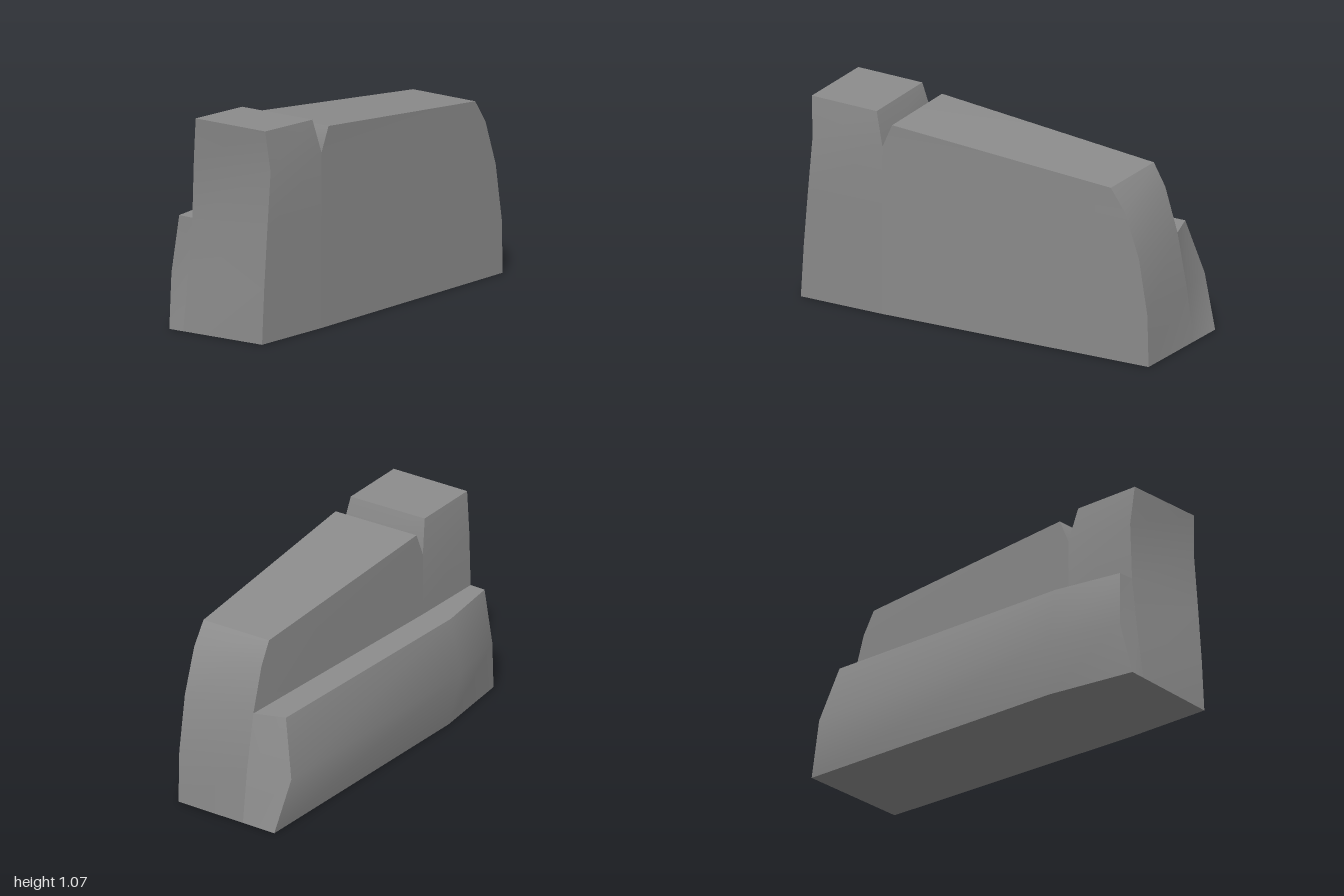
import * as THREE from 'three';
import { toCreasedNormals } from 'three/addons/utils/BufferGeometryUtils.js';

// Skin a stack of loops (bottom to top, each counterclockwise seen from above) and close both ends
function loft(loops) {
  const n = loops[0].length;
  const index = [];
  for (let k = 0; k < loops.length - 1; k++) {
    for (let i = 0; i < n; i++) {
      const a = k * n + i, b = k * n + (i + 1) % n;
      index.push(a, b, b + n, a, b + n, a + n);
    }
  }
  const top = (loops.length - 1) * n;
  for (let i = 1; i < n - 1; i++) {
    index.push(0, i + 1, i, top, top + i, top + i + 1);
  }
  const geometry = new THREE.BufferGeometry();
  geometry.setAttribute('position', new THREE.Float32BufferAttribute(loops.flat(2), 3));
  geometry.setIndex(index);
  return toCreasedNormals(geometry, 0.45);
}

export function createModel() {
  const group = new THREE.Group();
  const gray = new THREE.MeshStandardMaterial({ color: 0x8c8c8c });
  gray.name = 'plain gray';

  const add = (name, loops) => {
    const mesh = new THREE.Mesh(loft(loops), gray);
    mesh.name = name;
    group.add(mesh);
  };

  // Long block behind the notch: [height front, z front, height back, z back right, z back left]
  const rearLevels = [
    [0, 0.515, 0, -0.97, -0.99],
    [0.27, 0.515, 0.27, -0.963, -0.955],
    [0.56, 0.515, 0.56, -0.915, -0.9],
    [0.885, 0.515, 0.79, -0.835, -0.83],
    [1.01, 0.46, 0.905, -0.755, -0.765],
  ];
  add('rearBlock', rearLevels.map(([yf, zf, yb, zr, zl]) => [
    [0.345, yf, zf], [0.29, yb, zr], [-0.11, yb, zl], [-0.14, yf, zf],
  ]));

  // Tall front block with a tapered top: [height front, z right, z left, height back, z back, inset]
  const frontLevels = [
    [0, 0.98, 0.997, 0, 0.515, 0],
    [0.28, 0.963, 0.957, 0.28, 0.515, 0],
    [0.56, 0.94, 0.925, 0.56, 0.515, 0],
    [0.86, 0.913, 0.913, 0.885, 0.515, 0],
    [1.065, 0.93, 0.925, 1.057, 0.56, 0.021],
  ];
  add('frontBlock', frontLevels.map(([yf, zr, zl, yb, zb, s]) => [
    [0.345 - s, yf, zr], [0.345 - s, yb, zb], [-0.14 + s, yb, zb], [-0.14 + s, yf, zl],
  ]));

  // Low ledge along the side, bulging at mid height
  add('sideLedge', [
    [[-0.14, 0, 0.997], [-0.11, 0, -0.99], [-0.305, 0, -1], [-0.29, 0, 0.52], [-0.225, 0, 1]],
    [[-0.14, 0.27, 0.957], [-0.11, 0.27, -0.955], [-0.348, 0.27, -0.915], [-0.335, 0.27, 0.56], [-0.256, 0.27, 0.945]],
    [[-0.14, 0.56, 0.925], [-0.11, 0.56, -0.9], [-0.27, 0.56, -0.85], [-0.283, 0.56, 0.55], [-0.227, 0.56, 0.92]],
  ]);

  return group;
}
